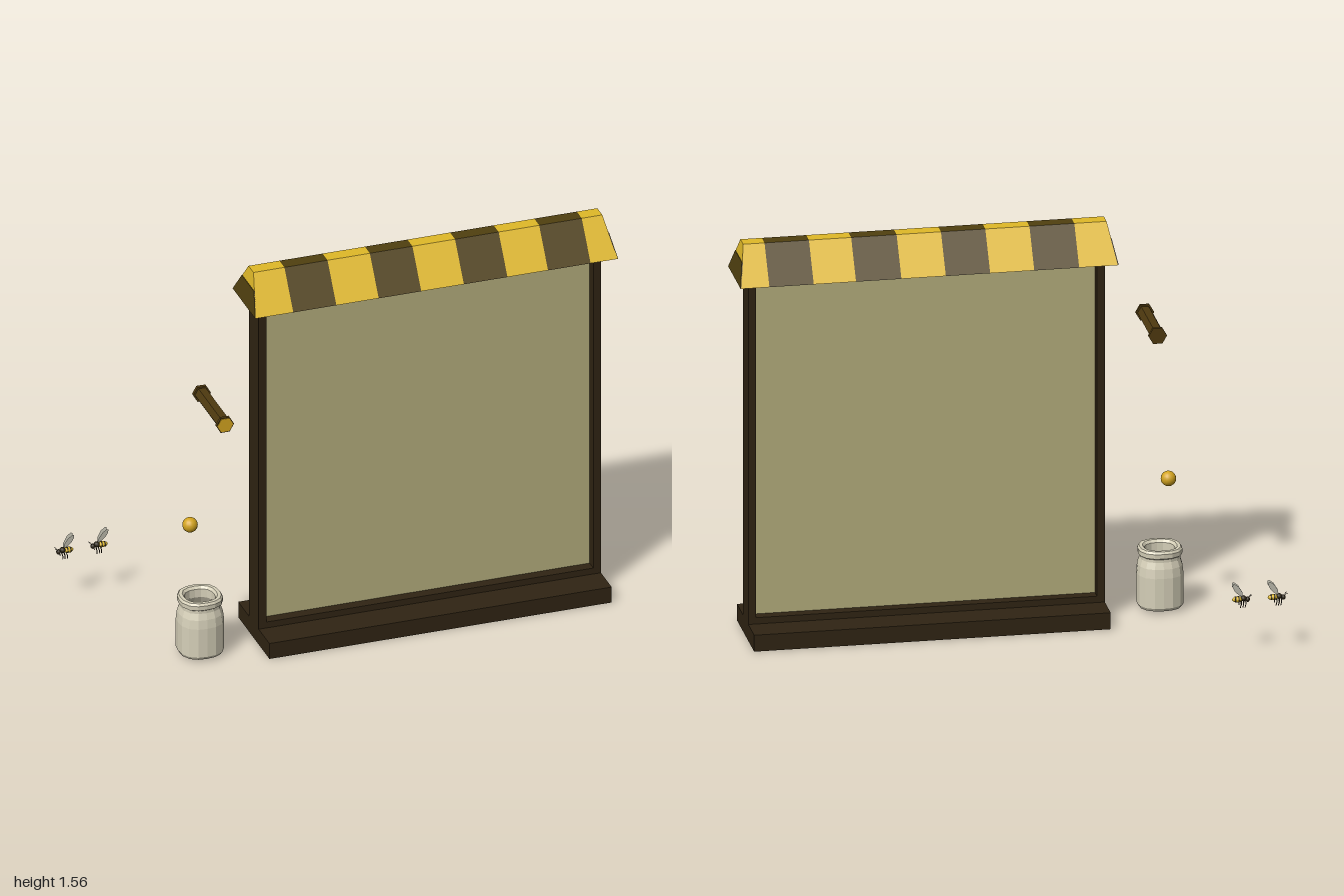
import * as THREE from 'three';

const mat = (name, color, extra = {}) => Object.assign(new THREE.MeshStandardMaterial({ color, ...extra }), { name });

export function createModel() {
  const root = new THREE.Group();
  root.name = 'honeyStand';

  const wood = mat('dark wood', 0x302413);
  const gold = mat('gold', 0xe0b928);
  const brown = mat('stripe brown', 0x50400f);
  const cloth = mat('panel beige', 0xb3ac7c);
  const clay = mat('jar cream', 0xd6d0b9, { flatShading: true });
  const honey = mat('honey', 0xd3a41f);
  const bark = mat('dipper brown', 0x4e390f, { flatShading: true });
  const black = mat('bee dark', 0x2b2314);
  const wingMat = mat('wing grey', 0xc9c7b8, { side: THREE.DoubleSide });

  const add = (parent, name, geo, material, x = 0, y = 0, z = 0) => {
    const m = new THREE.Mesh(geo, material);
    m.name = name;
    m.position.set(x, y, z);
    parent.add(m);
    return m;
  };
  // box given by its extents
  const box = (name, material, x0, x1, y0, y1, z0, z1) =>
    add(root, name, new THREE.BoxGeometry(x1 - x0, y1 - y0, z1 - z0), material,
      (x0 + x1) / 2, (y0 + y1) / 2, (z0 + z1) / 2);

  // frame and panel
  box('base', wood, -0.39, 0.96, 0, 0.065, -0.05, 0.3);
  box('rightPost', wood, -0.39, -0.36, 0.065, 1.42, 0.07, 0.18);
  box('leftPost', wood, 0.93, 0.96, 0.065, 1.42, 0.07, 0.18);
  box('bottomRail', wood, -0.36, 0.93, 0.065, 0.09, 0.07, 0.18);
  box('topRail', wood, -0.36, 0.93, 1.4, 1.42, 0.07, 0.18);
  box('panel', cloth, -0.36, 0.93, 0.09, 1.4, 0.112, 0.138);

  // striped roof: trapezoid sections, leaning inwards at both ends
  const midZ = 0.1275, low = 1.42, high = 1.56, half = 0.1275, topHalf = 0.028, lean = 0.026;
  const xL = -0.428, xR = 1;
  const section = (x0, x1, yTop) => {
    const t = (yTop - low) / (high - low);
    const h = half + (topHalf - half) * t;
    const shape = new THREE.Shape([[-half, low], [half, low], [h, yTop], [-h, yTop]]
      .map(([a, b]) => new THREE.Vector2(a - midZ, b)));
    const geo = new THREE.ExtrudeGeometry(shape, { depth: x1 - x0, bevelEnabled: false });
    geo.rotateY(Math.PI / 2).translate(x0, 0, 0);
    const p = geo.attributes.position;
    for (let i = 0; i < p.count; i++) {
      const x = p.getX(i), s = lean * (p.getY(i) - low) / (high - low);
      if (x < xL + 0.01) p.setX(i, x + s);
      if (x > xR - 0.01) p.setX(i, x - s);
    }
    geo.computeVertexNormals();
    return geo;
  };
  const cuts = [xL, -0.28, -0.11, 0.057, 0.225, 0.393, 0.565, 0.725, 0.893, xR];
  for (let i = 0; i < cuts.length - 1; i++)
    add(root, 'roofStripe', section(cuts[i], cuts[i + 1], high), i % 2 ? brown : gold);
  // dark lower band on each roof end
  add(root, 'roofEndBand', section(xL - 0.002, xL + 0.002, 1.503), brown);
  add(root, 'roofEndBand', section(xR - 0.002, xR + 0.002, 1.503), brown);

  // hollow jar with a softly squared cross-section
  const profile = [[0, 0.01], [0.08, 0.01], [0.087, 0.022], [0.087, 0.14], [0.083, 0.175], [0.075, 0.2],
    [0.075, 0.212], [0.082, 0.217], [0.083, 0.235], [0.077, 0.244], [0.064, 0.244], [0.056, 0.234],
    [0.056, 0.2], [0.074, 0.165], [0.076, 0.03], [0, 0.025]].map(([r, y]) => new THREE.Vector2(r, y));
  const jarGeo = new THREE.LatheGeometry(profile, 16);
  const jp = jarGeo.attributes.position;
  for (let i = 0; i < jp.count; i++) {
    const x = jp.getX(i), z = jp.getZ(i), r = Math.hypot(x, z);
    if (r < 1e-6) continue;
    const c = Math.abs(x / r), s = Math.abs(z / r);
    const k = Math.pow(c ** 2.5 + s ** 2.5, -1 / 2.5);
    jp.setX(i, x * k);
    jp.setZ(i, z * k);
  }
  add(root, 'jar', jarGeo, clay, -0.615, 0, 0.16);

  // honey drop
  add(root, 'honeyDrop', new THREE.SphereGeometry(0.029, 16, 12), honey, -0.64, 0.52, 0.12);

  // six-sided dipper pointing forwards
  const hex = (r, len) => new THREE.CylinderGeometry(r, r, len, 6).rotateX(Math.PI / 2).rotateZ(Math.PI / 2);
  const dipper = new THREE.Group();
  dipper.name = 'dipper';
  dipper.position.set(-0.603, 1.08, 0);
  root.add(dipper);
  add(dipper, 'shaft', hex(0.028, 0.26), bark, 0, 0, 0.275);
  add(dipper, 'backFlange', hex(0.035, 0.014), bark, 0, 0, 0.143);
  add(dipper, 'frontFlange', hex(0.035, 0.012), bark, 0, 0, 0.404);
  add(dipper, 'honeyFace', hex(0.031, 0.004), honey, 0, 0, 0.41);

  // bees facing -x
  const ball = (g, name, m, x, y, rx, ry, rz) =>
    add(g, name, new THREE.SphereGeometry(1, 10, 8).scale(rx, ry, rz), m, x, y, 0);
  const rod = (g, name, pts, r) => add(g, name, new THREE.TubeGeometry(
    new THREE.CatmullRomCurve3(pts.map((p) => new THREE.Vector3(...p))), 4, r, 5), black);
  const wingShape = new THREE.Shape([[0, 0], [0.002, 0.018], [0.016, 0.042], [0.032, 0.054], [0.039, 0.052],
    [0.039, 0.04], [0.03, 0.022], [0.014, 0.006]].map((p) => new THREE.Vector2(...p)));
  for (const x of [-0.955, -0.82]) {
    const bee = new THREE.Group();
    bee.name = 'bee';
    bee.position.set(x, 0.21, -0.39);
    root.add(bee);
    ball(bee, 'head', black, -0.025, -0.001, 0.009, 0.01, 0.01);
    ball(bee, 'thorax', black, -0.009, 0.004, 0.012, 0.011, 0.012);
    ball(bee, 'abdomen', gold, 0.013, 0.001, 0.021, 0.011, 0.012);
    for (const sx of [0.009, 0.021]) {
      const band = add(bee, 'band', new THREE.CylinderGeometry(0.0118, 0.0118, 0.005, 10), black, sx, 0.001, 0);
      band.rotation.z = Math.PI / 2;
      if (sx > 0.01) band.scale.set(0.93, 1, 1);
    }
    for (const s of [-1, 1]) {
      const wing = add(bee, 'wing', new THREE.ShapeGeometry(wingShape), wingMat, -0.006, 0.012, s * 0.004);
      wing.rotation.x = s * 0.12;
      rod(bee, 'antenna', [[-0.03, 0.006, s * 0.003], [-0.036, 0.015, s * 0.005], [-0.041, 0.016, s * 0.007]], 0.001);
      for (const lx of [-0.016, -0.007, 0.002])
        rod(bee, 'leg', [[lx, -0.002, s * 0.007], [lx + 0.001, -0.012, s * 0.021], [lx + 0.003, -0.027, s * 0.014]], 0.0018);
    }
  }
  return root;
}
